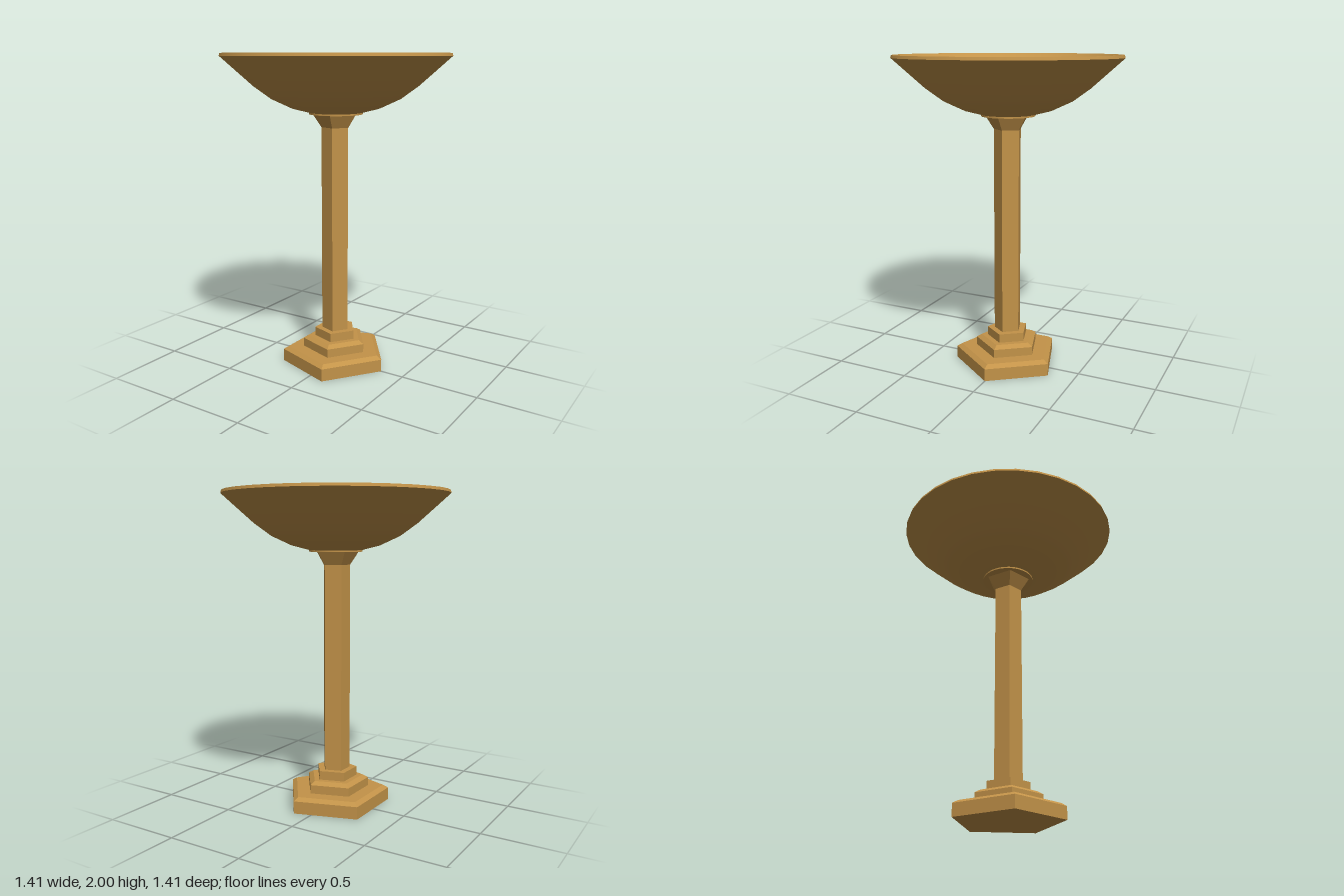
import * as THREE from 'three';

const SIDES = 32;
const bronze = new THREE.MeshStandardMaterial({ color: 0xc39349 });
bronze.name = 'bronze';
const water = new THREE.MeshStandardMaterial({ color: 0xd0d0d0 });
water.name = 'paleWater';

function add(group, name, geometry, material = bronze) {
  const mesh = new THREE.Mesh(geometry, material);
  mesh.name = name;
  group.add(mesh);
  return mesh;
}

// Five-sided prism or frustum with one corner towards +x, faceted normals
function pentagon(rBottom, rTop, y0, y1, open = false) {
  const g = new THREE.CylinderGeometry(rTop, rBottom, y1 - y0, 5, 1, open, Math.PI / 2)
    .translate(0, (y0 + y1) / 2, 0)
    .toNonIndexed();
  g.computeVertexNormals();
  return g;
}

// Smooth round surface swept from [radius, height] pairs
function round(points) {
  return new THREE.LatheGeometry(points.map(([r, y]) => new THREE.Vector2(r, y)), SIDES);
}

export function createModel() {
  const model = new THREE.Group();
  model.name = 'pedestalBasin';

  // Stepped pentagonal base, the two lower steps with bevelled tops
  const base = new THREE.Group();
  base.name = 'steppedBase';
  add(base, 'lowerStep', pentagon(0.347, 0.347, 0, 0.08));
  add(base, 'lowerStepBevel', pentagon(0.347, 0.312, 0.08, 0.1));
  add(base, 'middleStep', pentagon(0.212, 0.212, 0.1, 0.155));
  add(base, 'middleStepBevel', pentagon(0.212, 0.177, 0.155, 0.175));
  add(base, 'upperStep', pentagon(0.136, 0.136, 0.175, 0.232));
  model.add(base);

  // Column with a flared head
  add(model, 'column', pentagon(0.09, 0.09, 0.232, 1.55, true));
  add(model, 'columnFlare', pentagon(0.09, 0.144, 1.55, 1.632, true));

  // Thin round collar under the bowl
  const collar = new THREE.CylinderGeometry(0.167, 0.167, 0.01, SIDES);
  add(model, 'collar', collar.translate(0, 1.636, 0));

  // Bowl: outside, bevelled lip, flat rim and inside wall
  const bowl = new THREE.Group();
  bowl.name = 'bowl';
  add(bowl, 'bowlOutside', round([
    [0.15, 1.637], [0.275, 1.669], [0.4, 1.727], [0.507, 1.805], [0.605, 1.893], [0.705, 1.983],
  ]));
  add(bowl, 'bowlLip', round([[0.705, 1.983], [0.7, 2]]));
  add(bowl, 'bowlRim', round([[0.7, 2], [0.688, 2]]));
  add(bowl, 'bowlInside', round([[0.688, 2], [0.6, 1.92], [0.515, 1.85]]));
  model.add(bowl);

  // Still water surface
  const surface = new THREE.CircleGeometry(0.515, SIDES).rotateX(-Math.PI / 2);
  add(model, 'waterSurface', surface.translate(0, 1.85, 0), water);

  return model;
}
